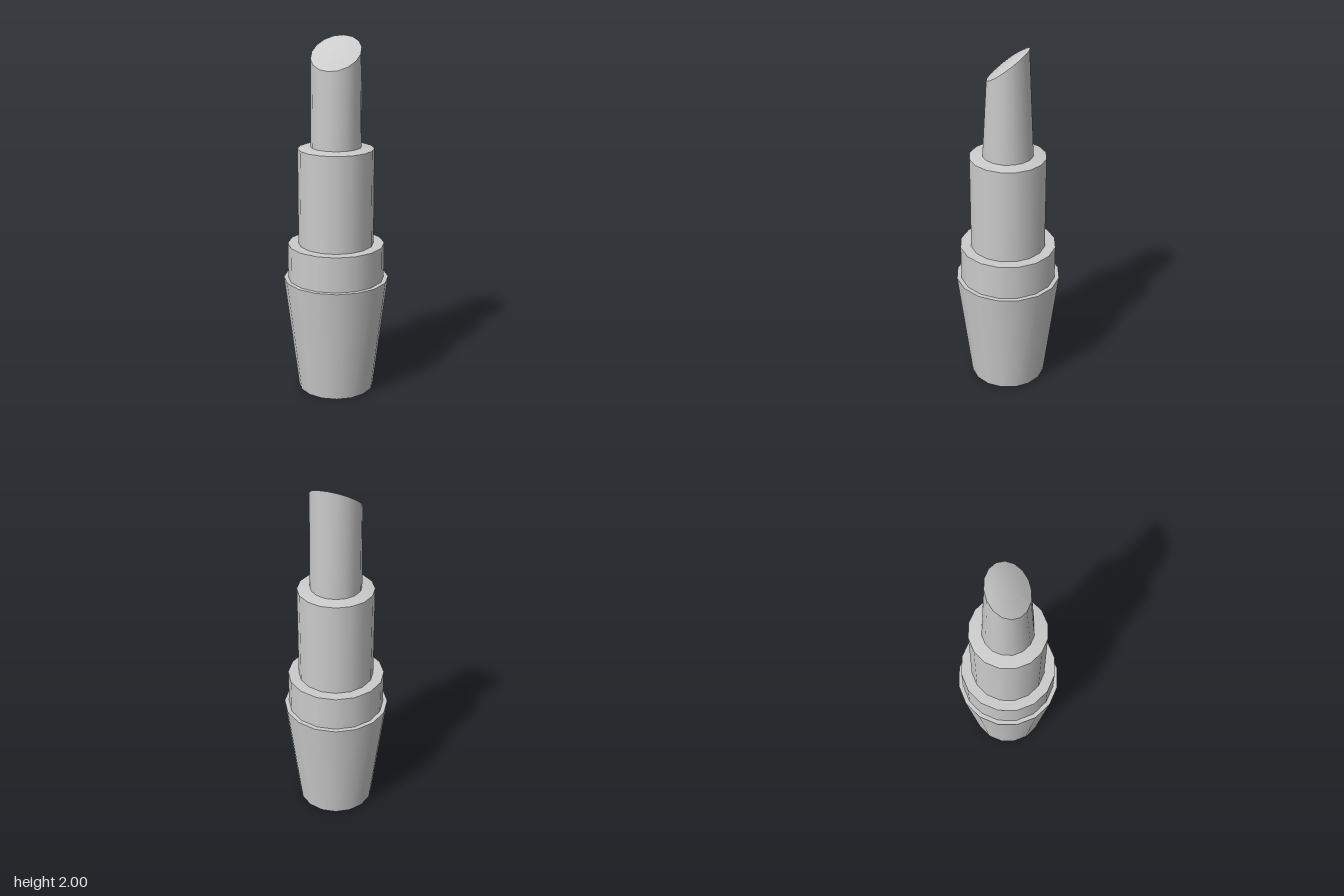
import * as THREE from 'three';

const SIDES = 16;

export function createModel() {
  const group = new THREE.Group();
  const material = new THREE.MeshStandardMaterial({ color: 0xcccccc });

  const add = (name, geometry) => {
    const mesh = new THREE.Mesh(geometry, material);
    mesh.name = name;
    group.add(mesh);
  };

  // Upright round section from y0 to y1
  const section = (rBottom, rTop, y0, y1, open = false) =>
    new THREE.CylinderGeometry(rTop, rBottom, y1 - y0, SIDES, 1, open).translate(0, (y0 + y1) / 2, 0);

  // Stacked case
  add('taperedBase', section(0.215, 0.295, 0, 0.66));
  add('collar', section(0.27, 0.27, 0.66, 0.86));
  add('innerTube', section(0.21, 0.21, 0.86, 1.4));
  add('tubeLip', section(0.21, 0.14, 1.4, 1.41));

  // Stick: round at the foot, narrowing front to back, cut on a slant
  const radius = 0.14, topDepth = 0.112, cutMiddle = 1.915, cutRise = 0.085;
  const stick = section(radius, radius, 1.4, 2, true);
  const p = stick.attributes.position;
  for (let i = 0; i < p.count; i++) {
    if (p.getY(i) < 1.7) continue;
    const c = p.getZ(i) / radius;
    p.setY(i, cutMiddle - cutRise * c);
    p.setZ(i, topDepth * c);
  }
  add('stick', stick);

  // Slightly domed face of the slanted cut: a shallow unit dome, scaled and sheared
  const dome = [1, 0.75, 0.5, 0.25, 0].map((r) => new THREE.Vector2(r, 0.022 * (1 - r * r)));
  const cut = new THREE.LatheGeometry(dome, SIDES).applyMatrix4(new THREE.Matrix4().set(
    radius, 0, 0, 0,
    0, 1, -cutRise, cutMiddle,
    0, 0, topDepth, 0,
    0, 0, 0, 1
  ));
  cut.computeVertexNormals();
  add('slantedTip', cut);

  return group;
}
